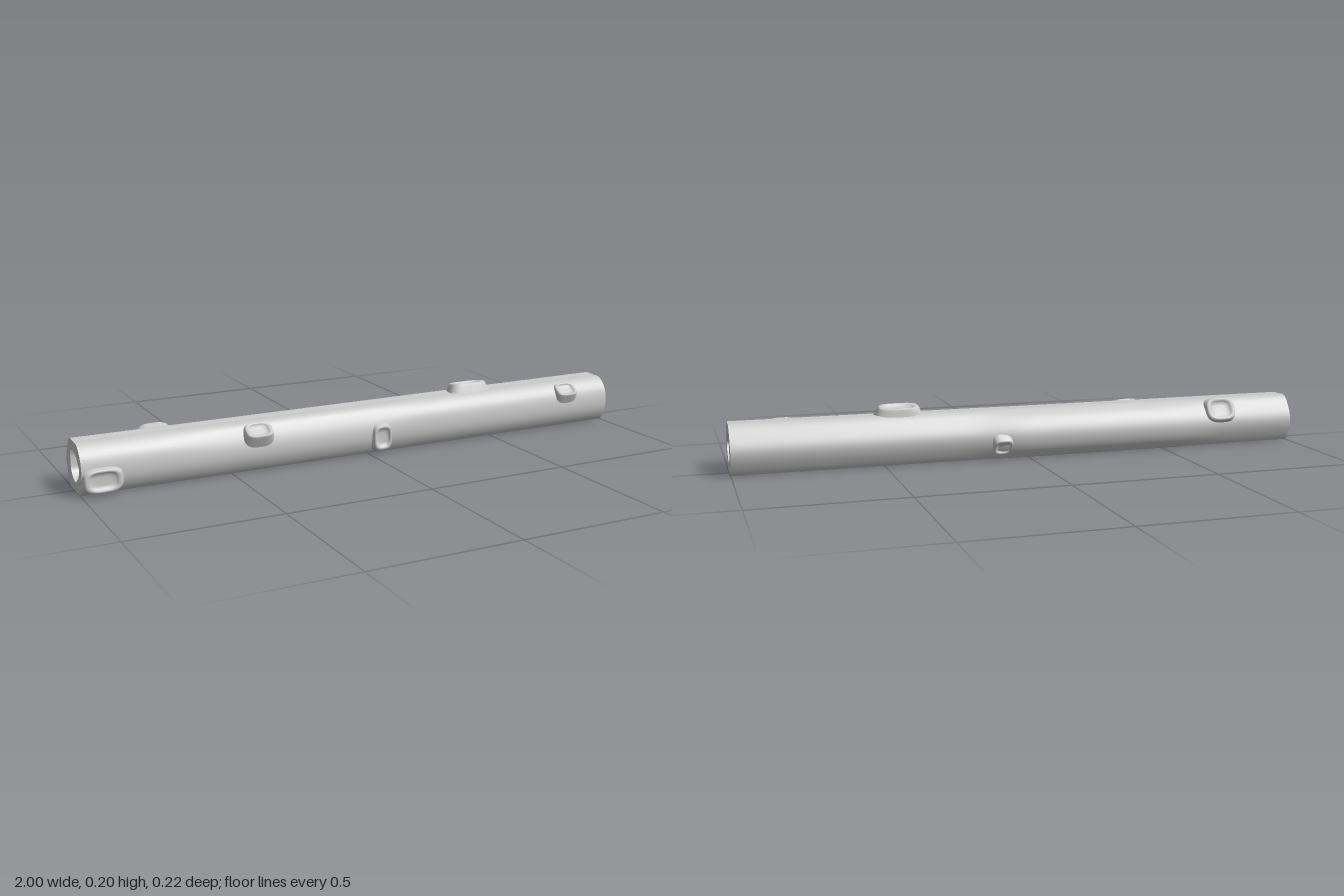
import * as THREE from 'three';

const AROUND = 72;
const CY = 0.085, CZ = 0.01; // centre line of the log

// Radii every 30 degrees, turning from the front (+z) up over the top
const END = [0.086, 0.087, 0.087, 0.079, 0.09, 0.088, 0.096, 0.098, 0.107, 0.088, 0.1, 0.092];
const MIDDLE = [0.083, 0.081, 0.086, 0.078, 0.09, 0.1, 0.111, 0.112, 0.107, 0.088, 0.1, 0.09];
const BORE = [0.058, 0.048, 0.045, 0.046, 0.058, 0.05, 0.045, 0.049, 0.05, 0.053, 0.049, 0.052];

// Closed smooth ring through the radii, flattened where the log rests
function ring(radii, x) {
  const pts = radii.map((r, i) => {
    const a = (i * Math.PI) / 6;
    return new THREE.Vector3(x, CY + r * Math.sin(a), CZ + r * Math.cos(a));
  });
  const curve = new THREE.CatmullRomCurve3(pts, true);
  return Array.from({ length: AROUND }, (_, j) => {
    const p = curve.getPoint(j / AROUND);
    p.y = Math.max(p.y, 0.001);
    return p;
  });
}

// Skin over a list of closed rings
function loft(rings) {
  const n = rings[0].length, index = [];
  for (let i = 0; i < rings.length - 1; i++) {
    for (let j = 0; j < n; j++) {
      const a = i * n + j, b = i * n + ((j + 1) % n);
      index.push(a, a + n, b, b, a + n, b + n);
    }
  }
  const geo = new THREE.BufferGeometry().setFromPoints(rings.flat());
  geo.setIndex(index);
  geo.computeVertexNormals();
  return geo;
}

// Bark section: the back swells in the middle stretch
function barkRing(x) {
  const s = THREE.MathUtils.smoothstep;
  const w = s(x, -0.78, -0.5) * (1 - s(x, 0, 0.22));
  return ring(END.map((r, i) => THREE.MathUtils.lerp(r, MIDDLE[i], w)), x);
}

// Cut branch stub: flared foot, rounded rim, shallow hollow
function knotGeometry(x, y, z, degrees, halfLength, halfWidth) {
  const a = THREE.MathUtils.degToRad(degrees);
  const out = new THREE.Vector3(0, Math.sin(a), Math.cos(a));
  const along = new THREE.Vector3(1, 0, 0);
  const across = along.clone().cross(out);
  const steps = [ // scale, height
    [1.35, -0.045], [1.22, -0.026], [1.1, -0.012], [1.05, -0.004],
    [0.98, 0], [0.84, 0], [0.74, -0.003], [0.66, -0.008], [0.4, -0.009], [0.001, -0.009],
  ];
  const squircle = (v) => Math.sign(v) * Math.pow(Math.abs(v), 0.65);
  return loft(steps.map(([scale, h]) => Array.from({ length: 40 }, (_, j) => {
    const t = (j / 40) * Math.PI * 2;
    const p = new THREE.Vector3(x, y, z)
      .addScaledVector(along, squircle(Math.cos(t)) * halfLength * scale)
      .addScaledVector(across, squircle(Math.sin(t)) * halfWidth * scale)
      .addScaledVector(out, h);
    p.x = Math.max(p.x, -1);
    p.y = Math.max(p.y, 0.001);
    return p;
  })));
}

export function createModel() {
  const group = new THREE.Group();
  const material = new THREE.MeshStandardMaterial({ color: 0xcccccc });
  const add = (name, geo) => {
    const mesh = new THREE.Mesh(geo, material);
    mesh.name = name;
    group.add(mesh);
  };

  // Hollow log
  const bark = Array.from({ length: 81 }, (_, i) => barkRing(-1 + i / 40));
  add('bark', loft(bark));
  add('hollow', loft([ring(BORE, 1), ring(BORE, -1)]));
  add('leftCutEnd', loft([ring(END, 1), ring(BORE, 1)]));
  add('rightCutEnd', loft([ring(BORE, -1), ring(END, -1)]));

  // Branch stubs: x, y, z, facing angle, half length, half width
  [
    [-0.935, 0.053, 0.112, 0, 0.058, 0.036],
    [-0.41, 0.146, 0.087, 53, 0.045, 0.03],
    [0.04, 0.062, 0.106, 0, 0.033, 0.042],
    [0.82, 0.145, 0.087, 53, 0.042, 0.03],
    [0.44, 0.192, -0.003, 98, 0.066, 0.034],
    [-0.72, 0.135, -0.083, 153, 0.052, 0.04],
    [0.1, 0.045, -0.097, 212, 0.032, 0.03],
  ].forEach((k, i) => add(`knot${i + 1}`, knotGeometry(...k)));

  return group;
}
